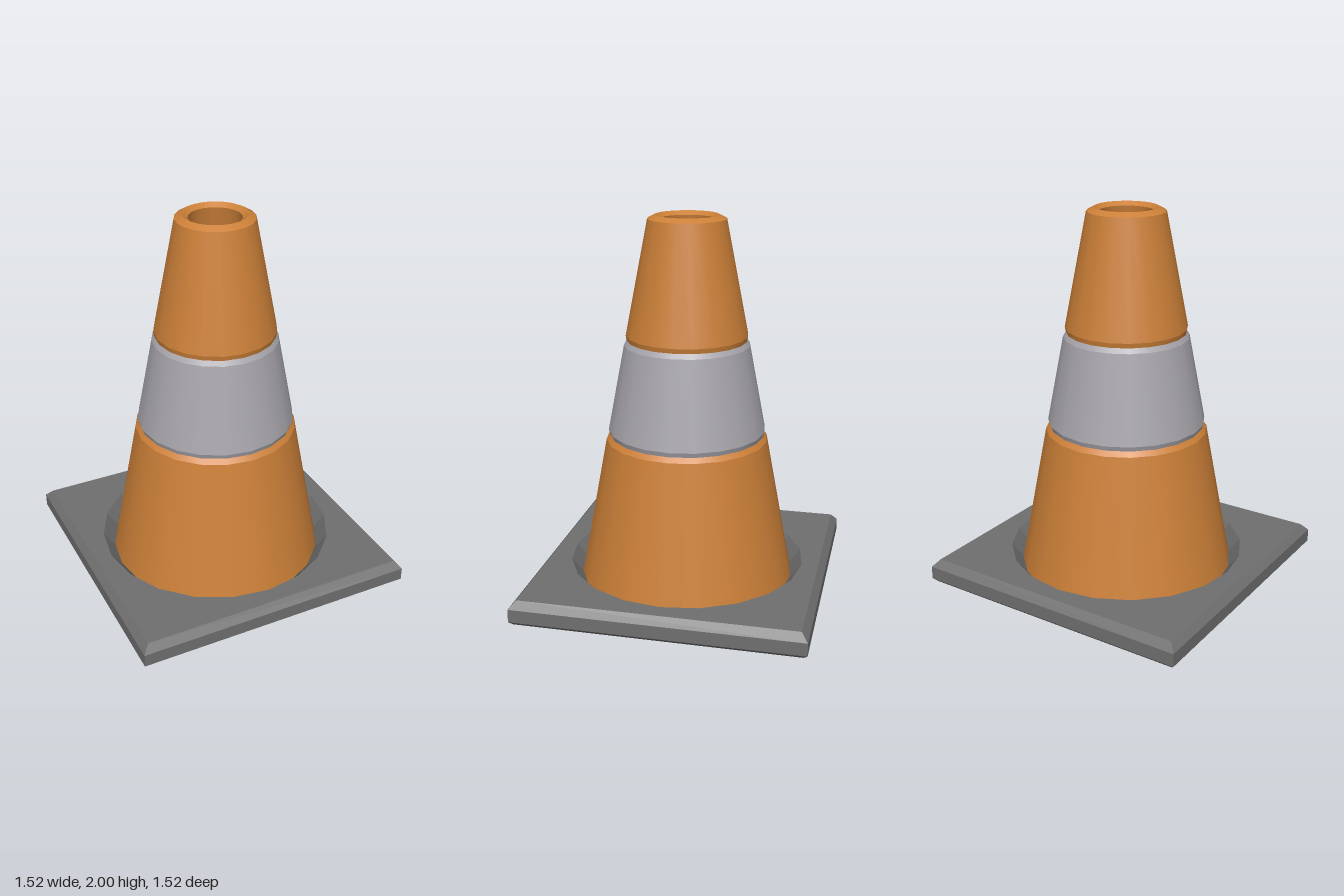
import * as THREE from 'three';
import { mergeGeometries } from 'three/addons/utils/BufferGeometryUtils.js';

const SIDES = 20;

// Revolve each profile step on its own, so the rings between steps stay sharp
function revolve(profile) {
  const strips = [];
  for (let i = 0; i < profile.length - 1; i++) {
    const pair = [profile[i], profile[i + 1]].map(([r, y]) => new THREE.Vector2(r, y));
    strips.push(new THREE.LatheGeometry(pair, SIDES));
  }
  return mergeGeometries(strips);
}

// Revolve with flat facets
function facet(profile, sides, start = 0) {
  const pts = profile.map(([r, y]) => new THREE.Vector2(r, y));
  const geo = new THREE.LatheGeometry(pts, sides, start).toNonIndexed();
  geo.computeVertexNormals();
  return geo;
}

// Flat square plate with a round hole, facing up or down
function plate(half, hole, y, up) {
  const shape = new THREE.Shape([
    new THREE.Vector2(-half, -half), new THREE.Vector2(half, -half),
    new THREE.Vector2(half, half), new THREE.Vector2(-half, half)
  ]);
  const ring = [];
  for (let i = 0; i < SIDES; i++) {
    const a = (i / SIDES) * Math.PI * 2;
    ring.push(new THREE.Vector2(Math.sin(a) * hole, Math.cos(a) * hole));
  }
  shape.holes.push(new THREE.Path(ring));
  return new THREE.ShapeGeometry(shape)
    .rotateX(up ? -Math.PI / 2 : Math.PI / 2)
    .translate(0, y, 0)
    .toNonIndexed();
}

export function createModel() {
  const group = new THREE.Group();
  const material = (name, color) => {
    const m = new THREE.MeshStandardMaterial({ color });
    m.name = name;
    return m;
  };
  const orange = material('orange plastic', 0xcc8038);
  const white = material('reflective grey', 0xa8a6ac);
  const grey = material('rubber grey', 0x6f6f6f);

  const add = (name, geometry, mat) => {
    const mesh = new THREE.Mesh(geometry, mat);
    mesh.name = name;
    group.add(mesh);
  };

  // Square base: bevelled rim, top with a sunken ring, open underside
  const q = Math.SQRT2;
  add('base', mergeGeometries([
    facet([[0.74 * q, 0], [0.76 * q, 0.02], [0.76 * q, 0.09], [0.725 * q, 0.13]], 4, Math.PI / 4),
    plate(0.725, 0.635, 0.13, true),
    facet([[0.635, 0.13], [0.573, 0.05]], SIDES),
    plate(0.74, 0.49, 0, false)
  ]), grey);

  // Cone body in three sections, narrowing slightly where they meet
  add('lowerCone', revolve([[0.575, 0.05], [0.43, 0.82], [0.41, 0.845]]), orange);
  add('reflectiveBand', revolve([[0.41, 0.845], [0.418, 0.87], [0.33, 1.33], [0.315, 1.355]]), white);
  add('upperCone', revolve([[0.315, 1.355], [0.32, 1.38], [0.203, 1.98], [0.165, 2]]), orange);

  // Rounded mouth and hollow inside
  add('innerWall', revolve([[0.165, 2], [0.135, 1.98], [0.49, 0]]), orange);

  return group;
}
